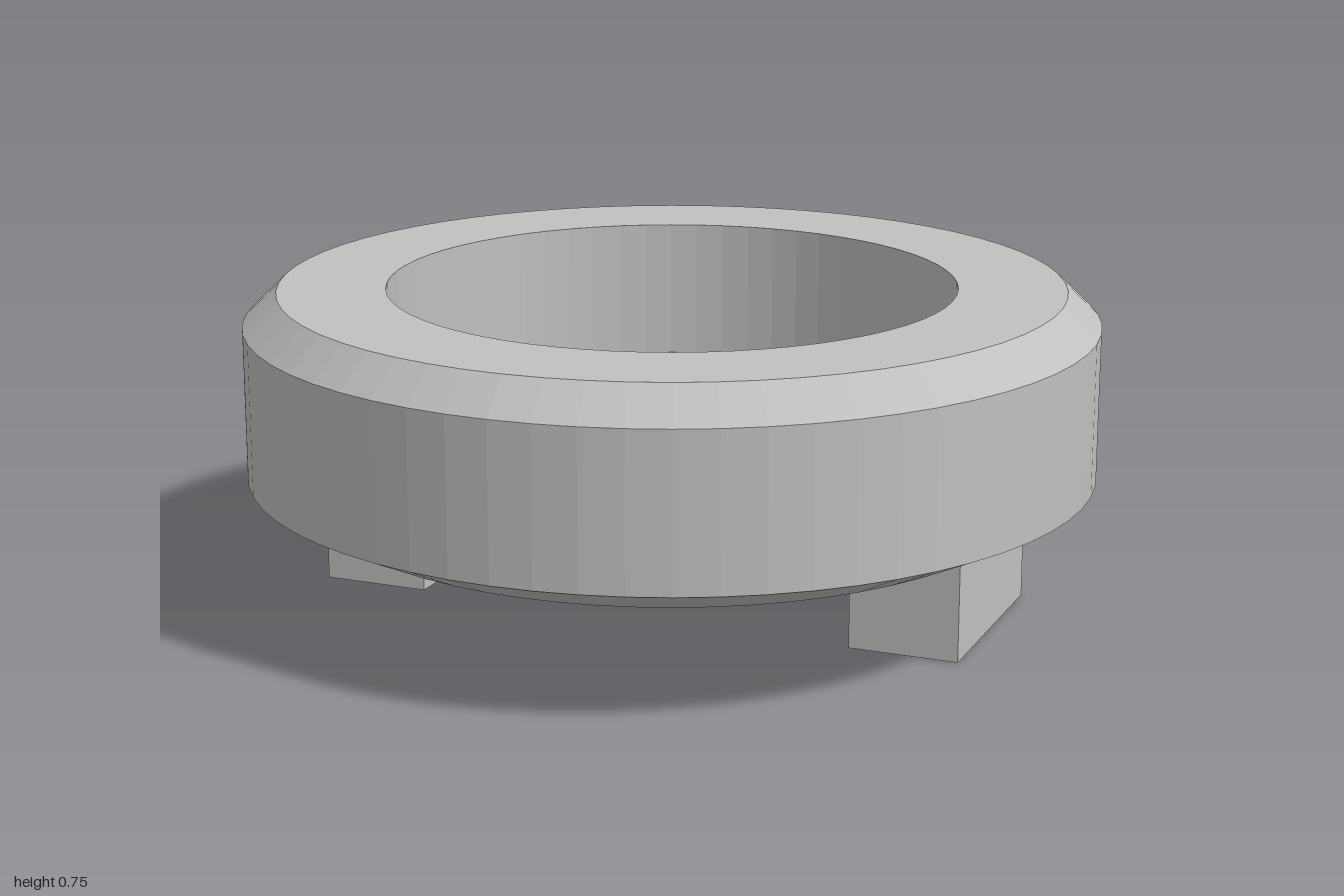
import * as THREE from 'three';

export function createModel() {
  const model = new THREE.Group();
  const grey = new THREE.MeshStandardMaterial({ color: 0xc0c0c0 });
  grey.name = 'grey';

  // Chamfered round body with a recessed cup, as one closed turned profile
  const profile = [
    [0, 0.235], [0.845, 0.235], [1, 0.31], [1, 0.67], [0.92, 0.747],
    [0.667, 0.747], [0.667, 0.413], [0, 0.413],
  ].map(([r, y]) => new THREE.Vector2(r, y));
  const bodyGeometry = new THREE.LatheGeometry(profile, 64).toNonIndexed();
  bodyGeometry.computeVertexNormals(); // faceted sides
  const body = new THREE.Mesh(bodyGeometry, grey);
  body.name = 'body';
  model.add(body);

  // Two block feet under the body
  for (const side of [-1, 1]) {
    const foot = new THREE.Mesh(new THREE.BoxGeometry(0.258, 0.235, 0.51), grey);
    foot.position.set(side * 0.666, 0.1175, 0);
    foot.name = side > 0 ? 'leftFoot' : 'rightFoot';
    model.add(foot);
  }

  return model;
}
